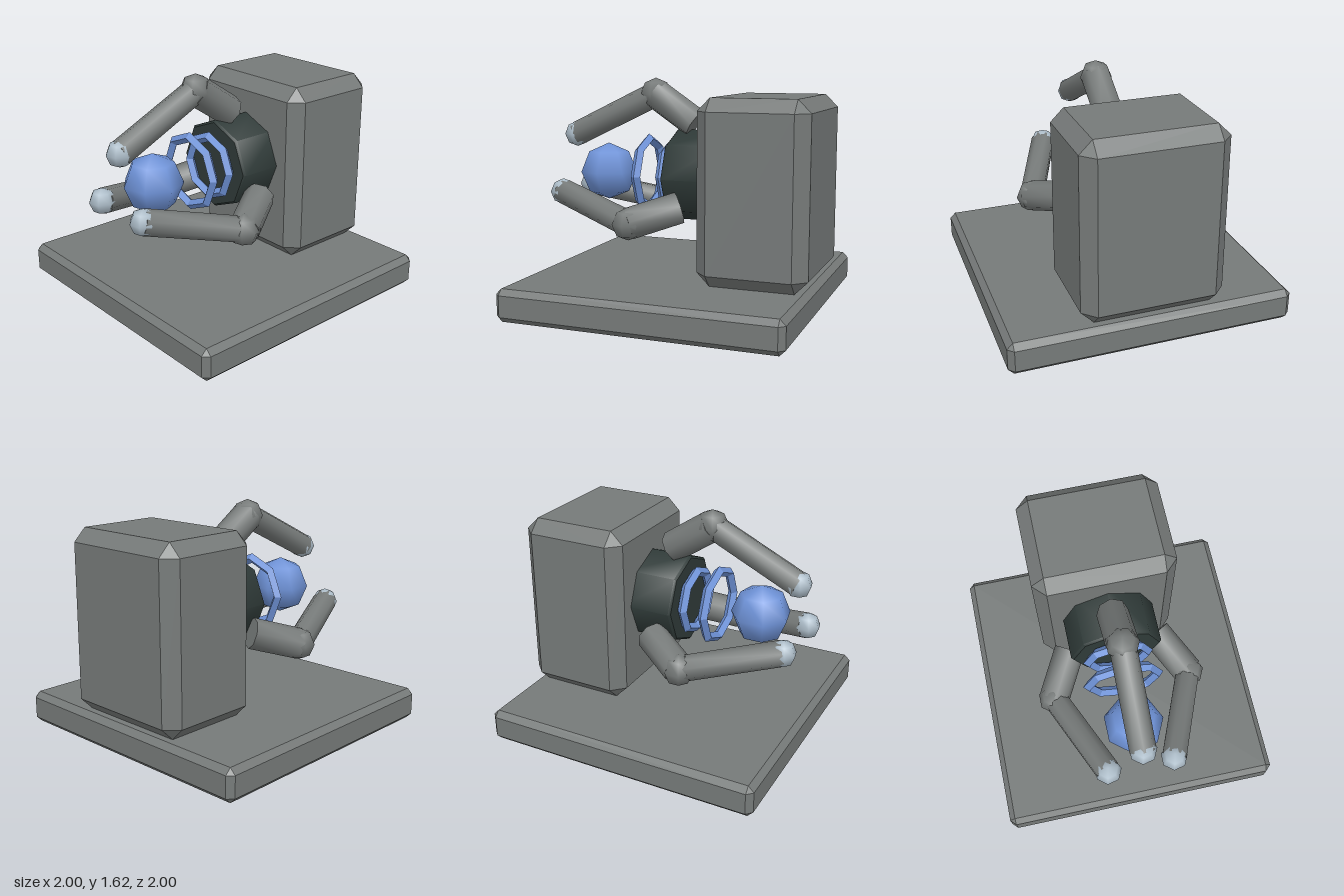
import * as THREE from 'three';
import { ConvexGeometry } from 'three/addons/geometries/ConvexGeometry.js';
import { toCreasedNormals } from 'three/addons/utils/BufferGeometryUtils.js';

const AXIS_Y = 0.925; // height of the barrel axis

function material(name, color) {
  const m = new THREE.MeshStandardMaterial({ color });
  m.name = name;
  return m;
}

// Box with flat chamfers on every edge
function chamferBox(w, h, d, c) {
  const pts = [];
  for (const sx of [-1, 1]) for (const sy of [-1, 1]) for (const sz of [-1, 1]) {
    const x = w / 2, y = h / 2, z = d / 2;
    pts.push(
      new THREE.Vector3(sx * x, sy * (y - c), sz * (z - c)),
      new THREE.Vector3(sx * (x - c), sy * y, sz * (z - c)),
      new THREE.Vector3(sx * (x - c), sy * (y - c), sz * z));
  }
  return new ConvexGeometry(pts);
}

// Low-poly ball with a vertex towards +x
function ball(r) {
  return new THREE.SphereGeometry(r, 7, 4).rotateY(Math.PI);
}

export function createModel() {
  const group = new THREE.Group();
  const grey = material('grey metal', 0x767a79);
  const dark = material('dark metal', 0x2f3a38);
  const blue = material('energy blue', 0x6f93d8);
  const pale = material('pale tip', 0xacbcc8);

  function add(parent, name, geometry, mat, x = 0, y = 0, z = 0) {
    const mesh = new THREE.Mesh(geometry, mat);
    mesh.name = name;
    mesh.position.set(x, y, z);
    parent.add(mesh);
    return mesh;
  }

  // Cylinder joining two points
  function rod(parent, name, a, b, r) {
    const dir = b.clone().sub(a);
    const geo = toCreasedNormals(new THREE.CylinderGeometry(r, r, dir.length(), 8), 1);
    const mesh = add(parent, name, geo, grey);
    mesh.position.copy(a).lerp(b, 0.5);
    mesh.quaternion.setFromUnitVectors(new THREE.Vector3(0, 1, 0), dir.normalize());
  }

  // Base slab and housing
  add(group, 'base', chamferBox(2, 0.23, 2, 0.04), grey, 0, 0.115, 0);
  add(group, 'housing', chamferBox(1, 1.27, 0.77, 0.09), grey, 0, 0.865, -0.615);

  // Octagonal barrel with a small bevel on the front rim
  const profile = [[0, -0.3], [0.325, -0.3], [0.325, 0.06], [0.31, 0.075], [0, 0.075]]
    .map(([r, h]) => new THREE.Vector2(r, h));
  const barrel = new THREE.LatheGeometry(profile, 8).rotateX(Math.PI / 2);
  add(group, 'barrel', toCreasedNormals(barrel, 0.8), dark, 0, AXIS_Y, 0);

  // Floating rings and core
  for (const [name, r, z] of [['innerRing', 0.215, 0.118], ['outerRing', 0.25, 0.29]]) {
    const ring = new THREE.TorusGeometry(r, 0.036, 4, 8).toNonIndexed();
    ring.computeVertexNormals();
    add(group, name, ring, blue, 0, AXIS_Y, z);
  }
  add(group, 'core', ball(0.21), blue, 0, AXIS_Y, 0.615);

  // Three jointed fingers around the barrel axis
  ['topFinger', 'leftFinger', 'rightFinger'].forEach((name, i) => {
    const finger = new THREE.Group();
    finger.name = name;
    group.add(finger);
    const a = i * Math.PI * 2 / 3;
    const at = (r, z) => new THREE.Vector3(Math.sin(a) * r, AXIS_Y + Math.cos(a) * r, z);
    const root = at(0.37, -0.07), joint = at(0.575, 0.235), tip = at(0.27, 0.873);
    rod(finger, 'upperSegment', root, joint, 0.11);
    rod(finger, 'lowerSegment', joint, tip, 0.09);
    add(finger, 'knuckle', ball(0.115), grey, ...joint.toArray());
    add(finger, 'fingertip', ball(0.095), pale, ...tip.toArray());
  });

  return group;
}
